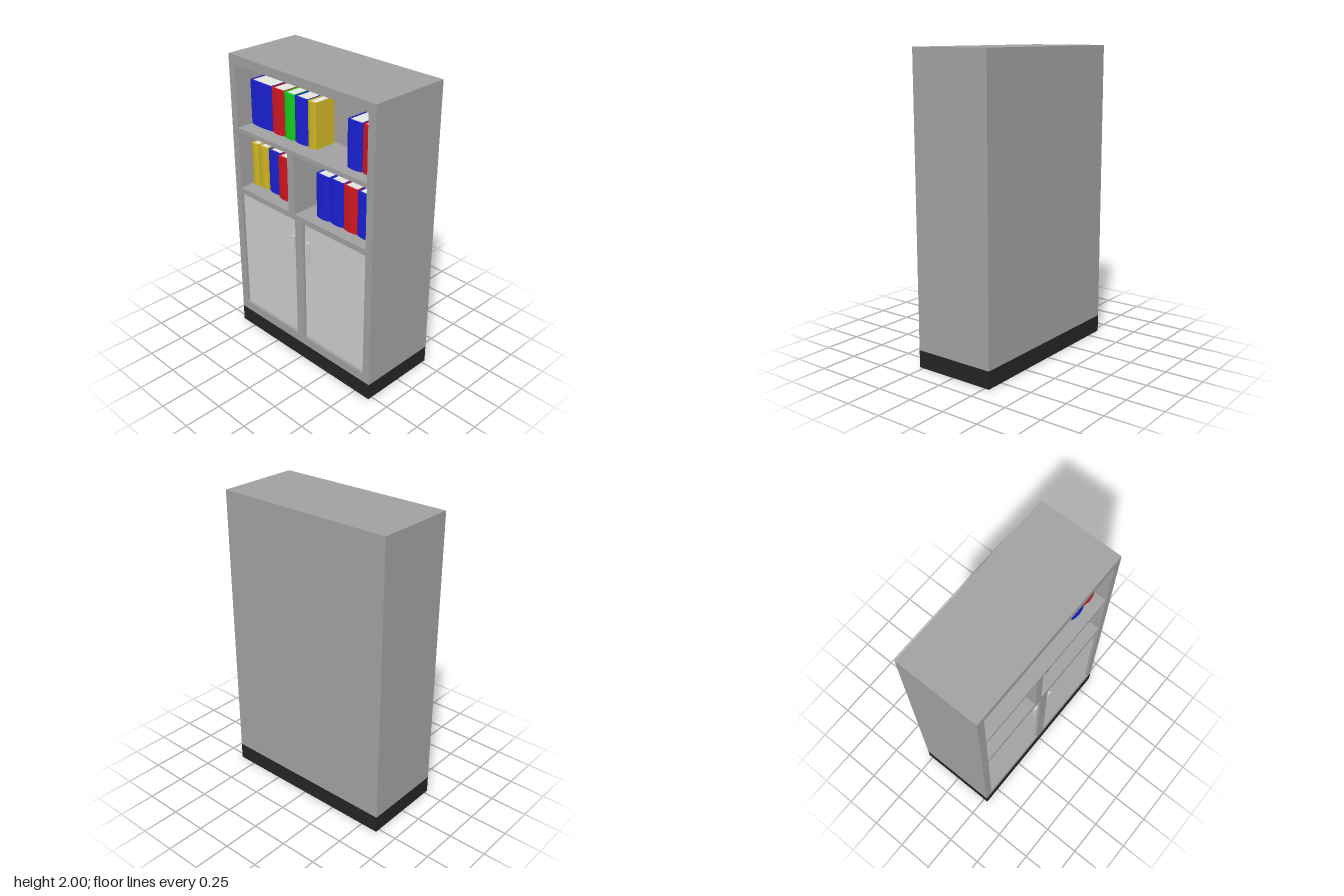
import * as THREE from 'three';

const mat = (color) => new THREE.MeshStandardMaterial({ color });
const M = {
  body: mat(0xa0a0a0), door: mat(0xcccccc), base: mat(0x242424), pages: mat(0xe4e4e0),
  blue: mat(0x1a20d2), red: mat(0xd0161f), green: mat(0x14cc1c), yellow: mat(0xcdb424),
};

function box(name, material, x0, x1, y0, y1, z0, z1) {
  const m = new THREE.Mesh(new THREE.BoxGeometry(x1 - x0, y1 - y0, z1 - z0), material);
  m.position.set((x0 + x1) / 2, (y0 + y1) / 2, (z0 + z1) / 2);
  m.name = name;
  return m;
}

function rectPath(Type, x0, x1, y0, y1) {
  const p = new Type();
  p.moveTo(x0, y0).lineTo(x1, y0).lineTo(x1, y1).lineTo(x0, y1).closePath();
  return p;
}

// U-shaped cover with a gently rounded spine, wrapped round a page block
function book(color, x0, x1, y, front) {
  const g = new THREE.Group();
  const w = (x1 - x0) / 2, t = 0.006, d = 0.165, h = 0.3, bulge = 0.01;
  const s = new THREE.Shape();
  s.moveTo(-w, d).lineTo(-w, bulge);
  s.quadraticCurveTo(0, -bulge, w, bulge);
  s.lineTo(w, d).lineTo(w - t, d).lineTo(w - t, bulge + t);
  s.lineTo(t - w, bulge + t).lineTo(t - w, d).closePath();
  const geo = new THREE.ExtrudeGeometry(s, { depth: h, bevelEnabled: false, curveSegments: 8 });
  geo.rotateX(-Math.PI / 2); // shape y becomes -z, extrusion runs up
  const cover = new THREE.Mesh(geo, M[color]);
  cover.name = 'bookCover';
  g.add(cover, box('bookPages', M.pages, t - w, w - t, 0.004, h - 0.006, -d + 0.004, -bulge - t));
  g.position.set((x0 + x1) / 2, y, front);
  g.name = color + 'Book';
  return g;
}

export function createModel() {
  const root = new THREE.Group();
  root.name = 'bookcase';
  const W = 0.62, D = 0.28, recess = 0.262;

  // plinth and solid rear half
  root.add(box('plinth', M.base, -W, W, 0, 0.115, -D, D));
  root.add(box('backBody', M.body, -W, W, 0.115, 2, -D, 0));

  // front frame with the shelf and door openings
  const doors = [[-0.565, -0.04], [0.03, 0.565]];
  const face = rectPath(THREE.Shape, -W, W, 0.115, 2);
  const openings = [
    [-0.565, 0.565, 1.52, 1.94],
    [-0.565, -0.1, 1.09, 1.49],
    [-0.04, 0.565, 1.09, 1.49],
    ...doors.map(([a, b]) => [a, b, 0.18, 1.05]),
  ];
  for (const o of openings) face.holes.push(rectPath(THREE.Path, ...o));
  const frame = new THREE.Mesh(new THREE.ExtrudeGeometry(face, { depth: D, bevelEnabled: false }), M.body);
  frame.name = 'frame';
  root.add(frame);

  // recessed doors with slim handles
  for (const [a, b] of doors) {
    root.add(box('door', M.door, a, b, 0.18, 1.05, 0.23, recess));
    const hx = a < 0 ? -0.073 : 0.06;
    root.add(box('doorHandle', M.door, hx - 0.015, hx + 0.015, 0.775, 0.92, recess, 0.277));
  }

  // books: colour, left edge, right edge, spine position
  const rows = [
    [1.52, [
      ['blue', -0.56, -0.36, 0.175], ['red', -0.355, -0.245, 0.175], ['green', -0.24, -0.15, 0.175],
      ['blue', -0.145, -0.035, 0.175], ['yellow', -0.03, 0.04, 0.175],
      ['blue', 0.335, 0.445, 0.21], ['red', 0.45, 0.56, 0.205],
    ]],
    [1.09, [
      ['yellow', -0.564, -0.5, 0.185], ['yellow', -0.495, -0.415, 0.18],
      ['blue', -0.4, -0.29, 0.18], ['red', -0.285, -0.18, 0.2],
      ['blue', 0.07, 0.18, 0.205], ['blue', 0.185, 0.295, 0.2],
      ['red', 0.3, 0.41, 0.2], ['blue', 0.415, 0.525, 0.2],
    ]],
  ];
  for (const [y, list] of rows)
    for (const [color, x0, x1, z] of list) root.add(book(color, x0, x1, y, z));

  return root;
}
